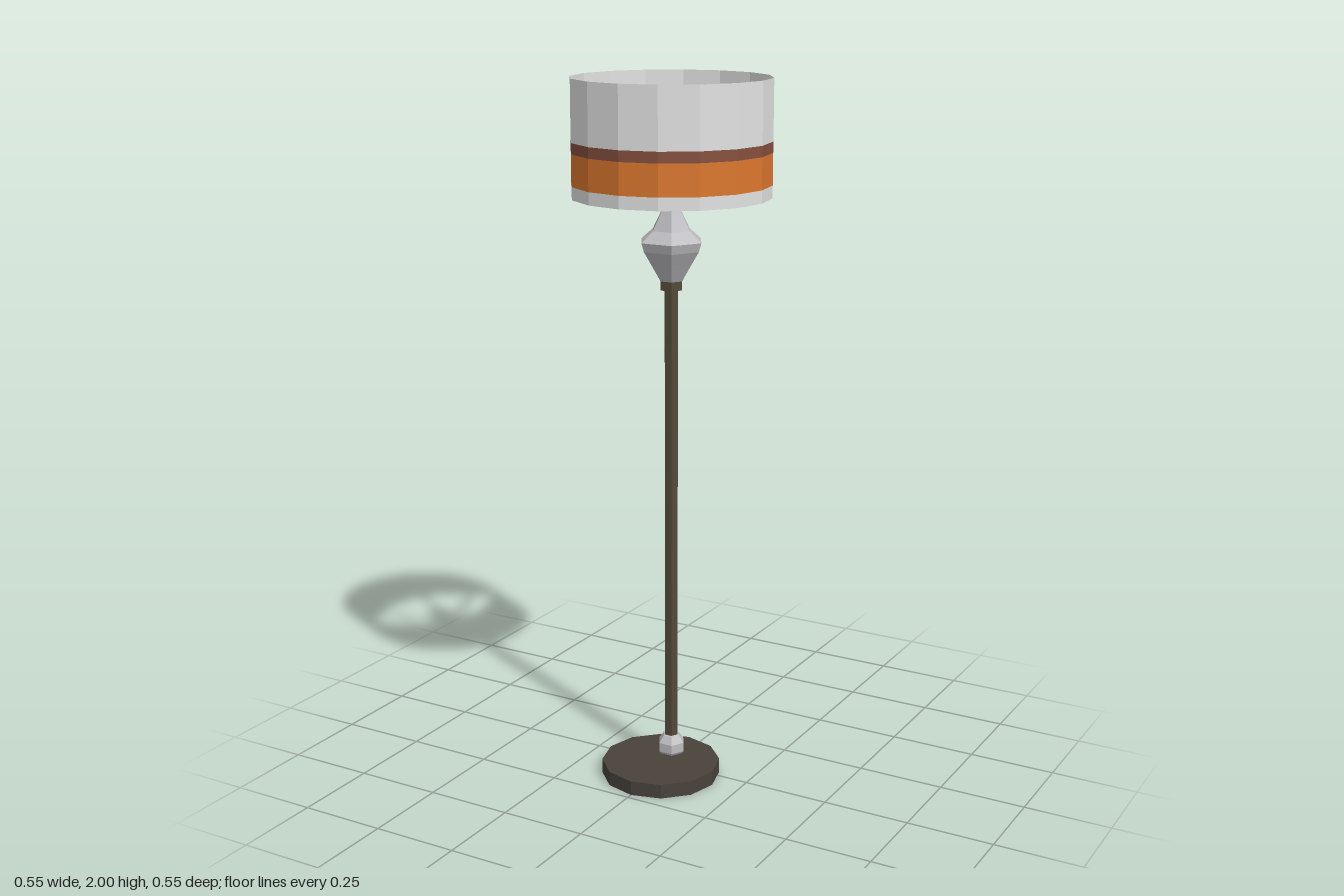
import * as THREE from 'three';

const mat = (name, color, side = THREE.FrontSide) => {
  const m = new THREE.MeshStandardMaterial({ color, flatShading: true, side });
  m.name = name;
  return m;
};

export function createModel() {
  const lamp = new THREE.Group();
  lamp.name = 'floorLamp';

  const shadeWhite = mat('shadeWhite', 0xe2e2e2, THREE.DoubleSide);
  const shadeOrange = mat('shadeOrange', 0xdc772e, THREE.DoubleSide);
  const brown = mat('brown', 0x85503f, THREE.DoubleSide);
  const silver = mat('silver', 0xbcbcc0);
  const darkWood = mat('darkWood', 0x54483a);
  const darkBase = mat('darkBase', 0x48423a);

  const add = (name, geometry, material, y = 0, z = 0) => {
    const mesh = new THREE.Mesh(geometry, material);
    mesh.name = name;
    mesh.position.set(0, y, z);
    lamp.add(mesh);
    return mesh;
  };
  // Turned part with corners on the x axis, profile given as [radius, height]
  const turned = (profile, sides) => new THREE.LatheGeometry(
    profile.map(([r, y]) => new THREE.Vector2(r, y)), sides, Math.PI / 2);

  // Foot, set forward of the pole
  add('base', new THREE.CylinderGeometry(0.171, 0.171, 0.042, 12), darkBase, 0.021, 0.062);
  add('footBall', new THREE.SphereGeometry(0.043, 6, 5), silver, 0.063);

  // Hexagonal pole and collar
  add('pole', turned([[0.021, 0.04], [0.021, 1.44]], 6), darkWood);
  add('collar', turned([[0, 1.425], [0.034, 1.425], [0.034, 1.455], [0, 1.455]], 6), darkWood);

  // Faceted vase-shaped holder
  add('holder', turned([
    [0.034, 1.45], [0.055, 1.485], [0.086, 1.535], [0.094, 1.56],
    [0.058, 1.59], [0.034, 1.635], [0.023, 1.66], [0.03, 1.685], [0.03, 1.71], [0, 1.71],
  ], 6), silver);

  // Bulb
  add('bulb', turned([
    [0.018, 1.705], [0.026, 1.73], [0.038, 1.765], [0.038, 1.79], [0.027, 1.815], [0, 1.83],
  ], 10), silver);

  // Drum shade, stacked in coloured bands: [name, bottom, top, material]
  [
    ['shadeLower', 1.68, 1.715, shadeWhite],
    ['shadeOrangeBand', 1.715, 1.802, shadeOrange],
    ['shadeBrownBand', 1.802, 1.832, brown],
    ['shadeUpper', 1.832, 2, shadeWhite],
  ].forEach(([name, y0, y1, material]) => {
    add(name, new THREE.CylinderGeometry(0.275, 0.275, y1 - y0, 16, 1, true), material, (y0 + y1) / 2);
  });

  // Sloping spokes from the holder up to the shade
  const inner = [0.025, 1.70], outer = [0.266, 1.82];
  const run = outer[0] - inner[0], rise = outer[1] - inner[1];
  [36, 90, 148, 216, 270, 328].forEach((degrees) => {
    const g = new THREE.BoxGeometry(Math.hypot(run, rise), 0.012, 0.016);
    g.rotateZ(Math.atan2(rise, run));
    g.translate((inner[0] + outer[0]) / 2, (inner[1] + outer[1]) / 2, 0);
    g.rotateY(THREE.MathUtils.degToRad(degrees));
    add('shadeSpoke', g, brown);
  });

  return lamp;
}
